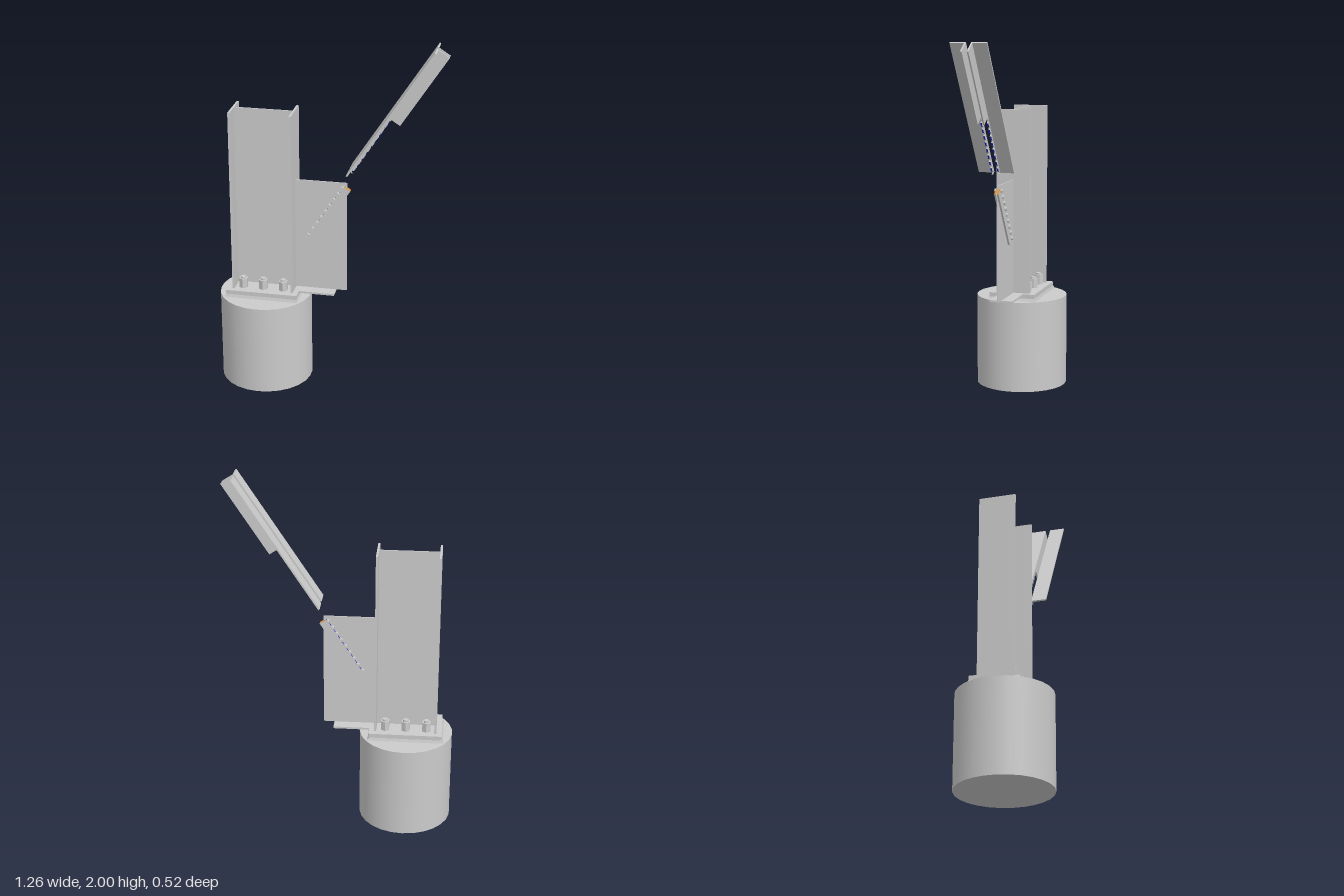
import * as THREE from 'three';

export function createModel() {
  const model = new THREE.Group();
  const grey = new THREE.MeshStandardMaterial({ color: 0xcccccc });
  const blue = new THREE.MeshStandardMaterial({ color: 0x2222cc });
  const orange = new THREE.MeshStandardMaterial({ color: 0xdd8822 });

  const add = (parent, name, geometry, material = grey) => {
    const mesh = new THREE.Mesh(geometry, material);
    mesh.name = name;
    parent.add(mesh);
    return mesh;
  };
  // Box given by its limits on each axis
  const box = (parent, name, x0, x1, y0, y1, z0, z1, material) => {
    const g = new THREE.BoxGeometry(x1 - x0, y1 - y0, z1 - z0);
    g.translate((x0 + x1) / 2, (y0 + y1) / 2, (z0 + z1) / 2);
    return add(parent, name, g, material);
  };

  const cx = -0.375;

  // Round foundation
  add(model, 'foundation', new THREE.CylinderGeometry(0.26, 0.26, 0.52, 26)).position.set(cx, 0.26, 0);

  // Grout pad with sloping sides, and the base plate on it
  const grout = new THREE.CylinderGeometry(0.965 * Math.SQRT1_2, Math.SQRT1_2, 0.016, 4, 1);
  grout.rotateY(Math.PI / 4);
  grout.scale(0.42, 1, 0.276);
  const groutFlat = grout.toNonIndexed();
  groutFlat.computeVertexNormals();
  add(model, 'groutPad', groutFlat).position.set(cx, 0.528, 0);
  box(model, 'basePlate', -0.577, -0.171, 0.536, 0.56, -0.132, 0.132);

  // I-section column
  const column = new THREE.Group();
  column.name = 'column';
  model.add(column);
  box(column, 'outerFlange', -0.547, -0.535, 0.56, 1.605, -0.1, 0.1);
  box(column, 'innerFlange', -0.211, -0.199, 0.56, 1.605, -0.1, 0.1);
  box(column, 'web', -0.535, -0.211, 0.56, 1.605, -0.0035, 0.0035);

  // Anchor bolts: rod and hexagonal nut
  for (const x of [-0.49, cx, -0.26]) {
    for (const z of [-0.067, 0.067]) {
      const bolt = new THREE.Group();
      bolt.name = 'anchorBolt';
      bolt.position.set(x, 0.56, z);
      model.add(bolt);
      const nut = new THREE.CylinderGeometry(0.026, 0.026, 0.055, 6).toNonIndexed();
      nut.computeVertexNormals();
      add(bolt, 'nut', nut).position.y = 0.0275;
      add(bolt, 'rod', new THREE.CylinderGeometry(0.015, 0.015, 0.065, 16)).position.y = 0.0325;
    }
  }

  // Gusset plate and its foot plate
  box(model, 'gussetPlate', -0.199, 0.09, 0.56, 1.21, -0.003, 0.003);
  box(model, 'footPlate', -0.171, 0.03, 0.549, 0.56, -0.066, 0.066);

  // Sloping assemblies: local x runs up the slope, local y points up and left
  const slope = Math.atan2(0.71, 0.46);
  const sloped = (name, x, y) => {
    const group = new THREE.Group();
    group.name = name;
    group.position.set(x, y, 0);
    group.rotation.z = slope;
    model.add(group);
    return group;
  };
  const pins = 9, pitch = 0.0437, first = 0.012, radius = 0.0105;

  // Seat bars on both sides of the gusset, with cross pins on the upper edge
  const seat = sloped('pinSeat', -0.132, 0.878);
  for (const s of [-1, 1]) {
    const a = s * 0.003, b = s * 0.013;
    box(seat, 'seatBar', 0, 0.374, -0.046, 0, Math.min(a, b), Math.max(a, b),
      [orange, grey, blue, grey, grey, grey]);
  }
  for (let i = 0; i < pins; i++) {
    const pin = new THREE.CylinderGeometry(radius, radius, 0.046, 16);
    pin.rotateX(Math.PI / 2);
    add(seat, 'crossPin', pin).position.set(first + i * pitch, 0, 0);
  }

  // Brace of two angles; the standing legs are notched to sit on the pins
  const brace = sloped('brace', 0.1, 1.29);
  const length = 0.846, edge = -0.026, step = 0.383;
  const leg = new THREE.Shape();
  leg.moveTo(0, 0);
  leg.lineTo(0, edge);
  for (let i = 0; i < pins; i++) {
    const x = first + i * pitch;
    leg.lineTo(x - radius, edge);
    leg.absarc(x, edge, radius, Math.PI, 0, true);
  }
  leg.lineTo(step, edge);
  leg.lineTo(step, -0.082);
  leg.lineTo(length, -0.082);
  leg.lineTo(length, 0);
  leg.closePath();
  for (const s of [-1, 1]) {
    const angle = new THREE.Group();
    angle.name = s > 0 ? 'frontAngle' : 'backAngle';
    brace.add(angle);
    const g = new THREE.ExtrudeGeometry(leg, { depth: 0.008, bevelEnabled: false, curveSegments: 8 });
    g.translate(0, 0, s > 0 ? 0.014 : -0.022);
    add(angle, 'standingLeg', g);
    const z0 = s > 0 ? 0.022 : -0.1, z1 = s > 0 ? 0.1 : -0.022;
    box(angle, 'flatLeg', 0, length, -0.009, 0, z0, z1);
    // Coloured contact faces between the notches
    for (let i = 0; i < pins - 1; i++) {
      const x = first + i * pitch;
      box(angle, 'contactFace', x + radius, x + pitch - radius, edge - 0.0006, edge + 0.001,
        s * 0.018 - 0.004, s * 0.018 + 0.004, blue);
    }
  }

  return model;
}
